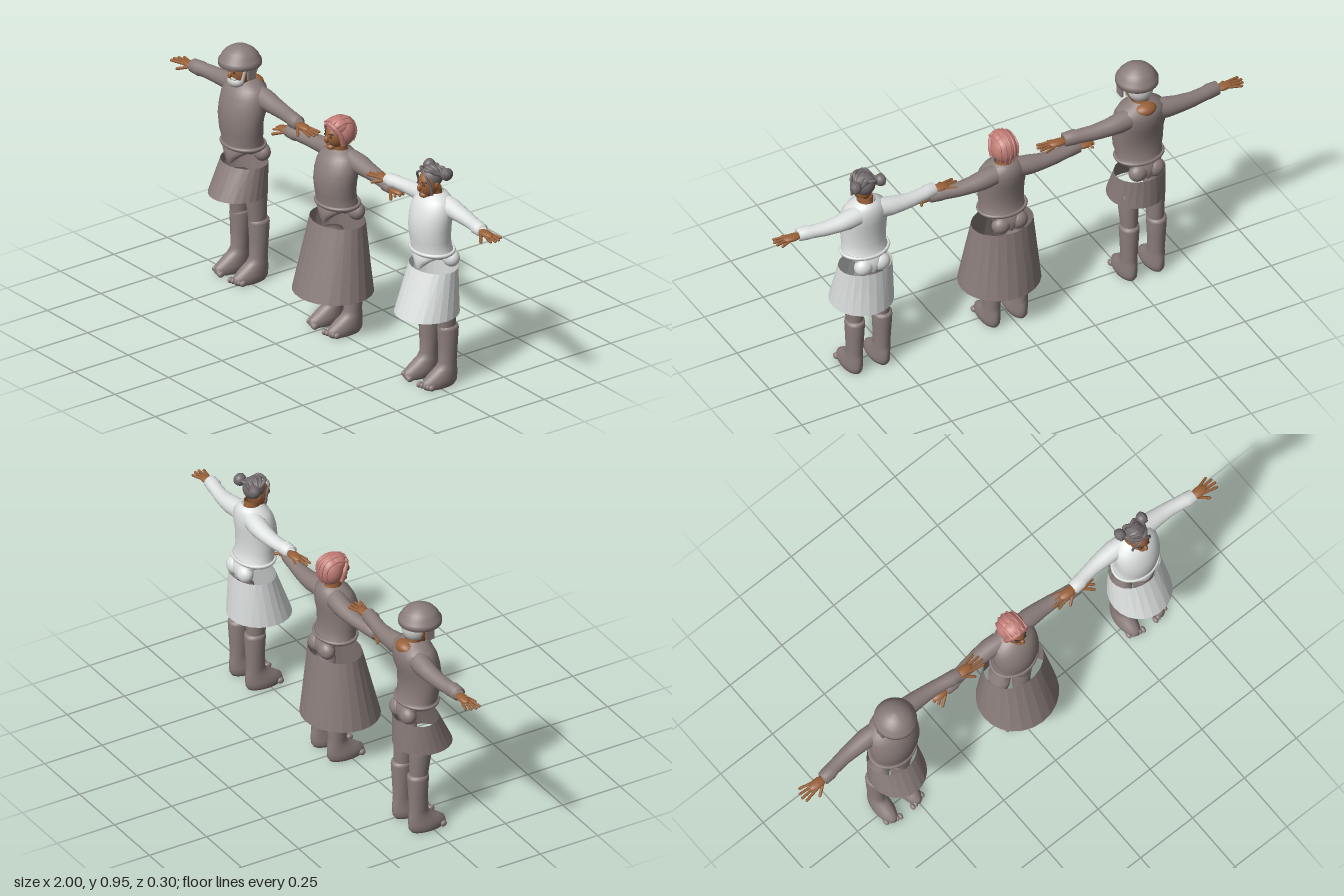
import * as THREE from 'three';

const mat = (name, color) => {
  const m = new THREE.MeshStandardMaterial({ color, side: THREE.DoubleSide });
  m.name = name;
  return m;
};

// Closed tube of elliptical rings stacked upwards: [y, halfWidth, zFront, zBack, xCentre]
function loft(rings, seg = 28) {
  const pos = [], idx = [];
  rings.forEach(([y, rx, f, b, cx = 0], j) => {
    for (let i = 0; i < seg; i++) {
      const a = (i / seg) * Math.PI * 2;
      pos.push(cx + rx * Math.cos(a), y, (f + b) / 2 + ((f - b) / 2) * Math.sin(a));
      if (j === 0) continue;
      const n = (i + 1) % seg, lo = (j - 1) * seg, hi = j * seg;
      idx.push(lo + i, hi + i, lo + n, lo + n, hi + i, hi + n);
    }
  });
  const g = new THREE.BufferGeometry();
  g.setAttribute('position', new THREE.Float32BufferAttribute(pos, 3));
  g.setIndex(idx);
  g.computeVertexNormals();
  return g;
}

function add(parent, name, geo, material) {
  const m = new THREE.Mesh(geo, material);
  m.name = name;
  parent.add(m);
  return m;
}

function ball(parent, name, material, [x, y, z], [rx, ry, rz]) {
  const g = new THREE.SphereGeometry(1, 24, 16).scale(rx, ry, rz).translate(x, y, z);
  return add(parent, name, g, material);
}

// Rounded stick between two points
function stick(parent, name, material, a, b, r) {
  const p = new THREE.Vector3(...a), d = new THREE.Vector3(...b).sub(p);
  const m = add(parent, name, new THREE.CapsuleGeometry(r, d.length(), 3, 8), material);
  m.position.copy(p).addScaledVector(d, 0.5);
  m.quaternion.setFromUnitVectors(new THREE.Vector3(0, 1, 0), d.normalize());
}

function strand(parent, name, material, pts, r) {
  const curve = new THREE.CatmullRomCurve3(pts.map(p => new THREE.Vector3(...p)));
  add(parent, name, new THREE.TubeGeometry(curve, 16, r, 6), material);
}

export function createModel() {
  const cloth = mat('taupe cloth', 0x8b7e7b), white = mat('white cloth', 0xdde1e0);
  const skin = mat('skin', 0x996139), red = mat('rose hair', 0xc47f78);
  const darkHair = mat('dark grey hair', 0x716a6c), greyHair = mat('pale grey hair', 0xc9c9c6);
  const dark = mat('eye dark', 0x2c2523), lip = mat('lips', 0x7c4632);

  function body(name, o) {
    const g = new THREE.Group();
    g.name = name;
    g.position.x = o.x;

    // Shirt: height fraction, half width, front, back
    const profile = [
      [0, 0.001, -0.02, -0.03], [0, 0.088, 0.046, -0.094], [0.03, 0.098, 0.054, -0.1], [0.06, 0.097, 0.054, -0.1],
      [0.09, 0.088, 0.05, -0.09], [0.25, 0.088 + o.bulk, 0.058, -0.085], [0.45, 0.092 + o.bulk, 0.063, -0.086],
      [0.62, 0.094 + o.bulk, 0.058, -0.092 - o.bulk], [0.78, 0.092 + o.bulk, 0.046, -0.095 - o.bulk],
      [0.9, 0.078 + o.bulk, 0.03, -0.092 - o.bulk], [0.97, 0.05, 0.008, -0.082], [1, 0.036, 0, -0.07]];
    const h = o.neck - o.hem;
    add(g, 'shirt', loft(profile.map(([t, ...r]) => [o.hem + t * h, ...r])), o.top);
    add(g, 'shirtHem', new THREE.TorusGeometry(0.094, 0.007, 8, 32).rotateX(Math.PI / 2)
      .scale(1, 1, 0.8).translate(0, o.hem + 0.014, -0.023), o.top);

    // Briefs cut high at the hips
    const top = o.hem + 0.01;
    const briefs = loft([[top - 0.07, 0.03, 0.045, -0.1], [top - 0.045, 0.062, 0.053, -0.108],
      [top - 0.02, 0.085, 0.052, -0.105], [top, 0.09, 0.046, -0.095]]);
    const p = briefs.attributes.position;
    for (let i = 0; i < p.count; i++) {
      const s = Math.sin(((i % 28) / 28) * Math.PI * 2);
      p.setY(i, top - (top - p.getY(i)) * (0.35 + 0.65 * s * s));
    }
    briefs.computeVertexNormals();
    add(g, 'briefs', briefs, o.top);
    for (const s of [-1, 1]) ball(g, 'seat', o.top, [s * 0.036, top - 0.04, -0.083], [0.038, 0.036, 0.031]);

    // Faceted open skirt
    const skirt = loft(o.skirt, 24).toNonIndexed();
    skirt.computeVertexNormals();
    add(g, 'skirt', skirt, o.top);

    for (const s of [-1, 1]) {
      // Trousers and boot
      const c = s * 0.056, f = s * 0.058, k = o.leg;
      add(g, 'trouserLeg', loft([[0.2 * k, 0.028, -0.015, -0.08, c], [0.27 * k, 0.034, -0.008, -0.085, c],
        [0.34 * k, 0.038, 0.004, -0.085, c], [0.4 * k, 0.04, 0.008, -0.085, c], [0.4 * k, 0.001, -0.03, -0.031, c]], 20), cloth);
      const boot = [[0, 0.001, 0, -0.01], [0, 0.03, 0.055, -0.08], [0.015, 0.037, 0.066, -0.09], [0.035, 0.037, 0.06, -0.092],
        [0.055, 0.034, 0.034, -0.092], [0.075, 0.032, 0.002, -0.09], [0.095, 0.031, -0.014, -0.087],
        [0.17, 0.035, -0.014, -0.091], [0.235, 0.038, -0.01, -0.095], [0.247, 0.037, -0.012, -0.093], [0.25, 0.028, -0.02, -0.08]];
      add(g, 'boot', loft(boot.map(([y, ...r]) => [y * k, ...r, f]), 24), cloth);
      for (let i = 0; i < 5; i++) {
        ball(g, 'toe', cloth, [f + s * (i - 2) * 0.014, 0.014, 0.058 - 0.004 * i], [0.009, 0.012, 0.014]);
      }

      // Sleeve, built upright then laid outwards
      const q = o.cuff / 0.33, e = 0.9 + o.bulk * 8;
      const sleeve = [[0.05, 0.042, -0.015, -0.09, 0.012], [0.1, 0.041, -0.018, -0.094, 0.008], [0.15, 0.034, -0.022, -0.09, 0.003],
        [0.21, 0.03, -0.024, -0.082, 0], [0.27, 0.027, -0.017, -0.072, 0], [0.285, 0.03, -0.011, -0.07, 0],
        [0.325, 0.027, -0.01, -0.064, 0], [0.33, 0.018, -0.02, -0.056, 0]];
      add(g, 'sleeve', loft(sleeve.map(([d, r, a, b, y]) => [d * q, r * e, a, b, -s * (o.arm + y)]), 20)
        .rotateZ(-s * Math.PI / 2), o.top);

      // Hand
      const w = o.cuff, y = o.arm - 0.004, tip = o.tip - 0.006;
      ball(g, 'palm', skin, [s * (w + 0.022), y, -0.036], [0.038, 0.012, 0.021]);
      for (let i = 0; i < 4; i++) {
        stick(g, 'finger', skin, [s * (w + 0.035), y, -0.05 + i * 0.01],
          [s * (tip - [0.016, 0.004, 0, 0.007][i]), y - 0.004, -0.063 + i * 0.018], 0.0055);
      }
      stick(g, 'thumb', skin, [s * (w + 0.008), y - 0.004, -0.022], [s * (w + 0.043), y - 0.016, 0.004], 0.006);
    }
    return g;
  }

  // Face with centre y, z and size r = [x, y, z]
  function face(g, y, z, r) {
    ball(g, 'face', skin, [0, y, z], r);
    add(g, 'neck', loft([[y - 0.105, 0.034, 0, -0.08], [y - 0.06, 0.027, 0, -0.064], [y - 0.02, 0.027, 0, -0.06]], 20), skin);
    const front = z + r[2];
    ball(g, 'nose', skin, [0, y - 0.008, front], [0.009, 0.014, 0.011]);
    ball(g, 'mouth', lip, [0, y - 0.027, front - 0.007], [0.013, 0.004, 0.006]);
    ball(g, 'chin', skin, [0, y - 0.041, front - 0.018], [0.018, 0.012, 0.016]);
    for (const s of [-1, 1]) {
      ball(g, 'eye', dark, [s * 0.017, y + 0.005, front - 0.006], [0.007, 0.004, 0.004]);
      stick(g, 'brow', dark, [s * 0.009, y + 0.014, front - 0.004], [s * 0.026, y + 0.016, front - 0.012], 0.0025);
      ball(g, 'ear', skin, [s * r[0], y, z - 0.012], [0.006, 0.014, 0.009]);
    }
  }

  // Helmeted man
  const man = body('helmetedFigure', { x: -0.5615, top: cloth, bulk: 0.012, hem: 0.535, neck: 0.81, arm: 0.738, cuff: 0.33,
    tip: 0.4385, leg: 1, skirt: [[0.35, 0.111, 0.116, -0.112], [0.475, 0.101, 0.055, -0.112]] });
  face(man, 0.847, -0.012, [0.045, 0.06, 0.05]);
  ball(man, 'nape', skin, [0, 0.785, -0.072], [0.045, 0.026, 0.035]);
  ball(man, 'hair', greyHair, [0, 0.855, -0.032], [0.05, 0.05, 0.048]);
  ball(man, 'beard', greyHair, [0, 0.808, 0.01], [0.037, 0.024, 0.032]);
  for (const s of [-1, 1]) {
    stick(man, 'moustache', greyHair, [s * 0.004, 0.829, 0.037], [s * 0.02, 0.823, 0.03], 0.005);
    stick(man, 'sideburn', greyHair, [s * 0.04, 0.86, 0], [s * 0.034, 0.815, 0.008], 0.008);
    add(man, 'cheekGuard', new THREE.BoxGeometry(0.009, 0.045, 0.035).translate(s * 0.072, 0.857, -0.008), cloth);
  }
  add(man, 'helmet', loft([[0.876, 0.07, 0.065, -0.08], [0.875, 0.081, 0.074, -0.09], [0.893, 0.081, 0.074, -0.09],
    [0.895, 0.075, 0.068, -0.084], [0.912, 0.07, 0.063, -0.079], [0.929, 0.056, 0.048, -0.064],
    [0.942, 0.036, 0.028, -0.044], [0.948, 0.018, 0.01, -0.026], [0.95, 0.001, -0.007, -0.009]], 36), cloth);

  // Woman in the long skirt
  const woman = body('longSkirtFigure', { x: 0.022, top: cloth, bulk: 0.002, hem: 0.507, neck: 0.738, arm: 0.687, cuff: 0.322,
    tip: 0.387, leg: 0.95, skirt: [[0.165, 0.16, 0.148, -0.152], [0.45, 0.123, 0.07, -0.118]] });
  face(woman, 0.793, -0.018, [0.039, 0.05, 0.045]);
  ball(woman, 'hair', red, [0, 0.802, -0.045], [0.053, 0.06, 0.05]);
  ball(woman, 'hairCrown', red, [0, 0.828, -0.026], [0.044, 0.036, 0.045]);
  for (const x of [-0.036, -0.018, 0, 0.018, 0.036]) {
    const k = Math.sqrt(1 - (x / 0.056) ** 2);
    strand(woman, 'hairRidge', red, [[x, 0.8 + 0.05 * k, 0.012 * k], [x, 0.802 + 0.06 * k, -0.035],
      [x, 0.802 + 0.04 * k, -0.045 - 0.038 * k], [x, 0.8, -0.045 - 0.05 * k], [x * 0.9, 0.8 - 0.045 * k, -0.045 - 0.036 * k]], 0.004);
  }
  for (const s of [-1, 1]) {
    strand(woman, 'hairEdge', red, [[0, 0.842, 0.012], [s * 0.026, 0.832, 0.008], [s * 0.041, 0.8, -0.008], [s * 0.04, 0.763, -0.02]], 0.01);
  }

  // Woman with two buns
  const girl = body('bunHairFigure', { x: 0.608, top: white, bulk: 0, hem: 0.53, neck: 0.775, arm: 0.715, cuff: 0.293,
    tip: 0.392, leg: 0.97, skirt: [[0.29, 0.123, 0.125, -0.122], [0.475, 0.107, 0.054, -0.113]] });
  face(girl, 0.813, -0.006, [0.037, 0.056, 0.042]);
  ball(girl, 'hair', darkHair, [0, 0.838, -0.022], [0.042, 0.044, 0.043]);
  for (const s of [-1, 1]) {
    ball(girl, 'bun', darkHair, [s * 0.052, 0.855, -0.05], [0.021, 0.024, 0.024]);
    add(girl, 'bunCoil', new THREE.TorusGeometry(0.017, 0.008, 8, 20).rotateY(Math.PI / 2)
      .translate(s * 0.058, 0.855, -0.05), darkHair);
    for (let i = 0; i < 5; i++) {
      const z = 0.02 - i * 0.018;
      strand(girl, 'hairLock', darkHair, [[s * 0.002, 0.872 + 0.008 * Math.sin(i), z], [s * 0.022, 0.874 - i * 0.002, z - 0.008],
        [s * 0.037, 0.858 - i * 0.003, z * 0.5 - 0.025], [s * 0.046, 0.855, -0.05]], 0.007);
    }
    strand(girl, 'sideLock', darkHair, [[s * 0.004, 0.87, 0.022], [s * 0.026, 0.856, 0.027], [s * 0.036, 0.825, 0.014], [s * 0.037, 0.778, 0.006]], 0.005);
  }

  const group = new THREE.Group();
  group.name = 'threeFigures';
  group.add(man, woman, girl);
  return group;
}
